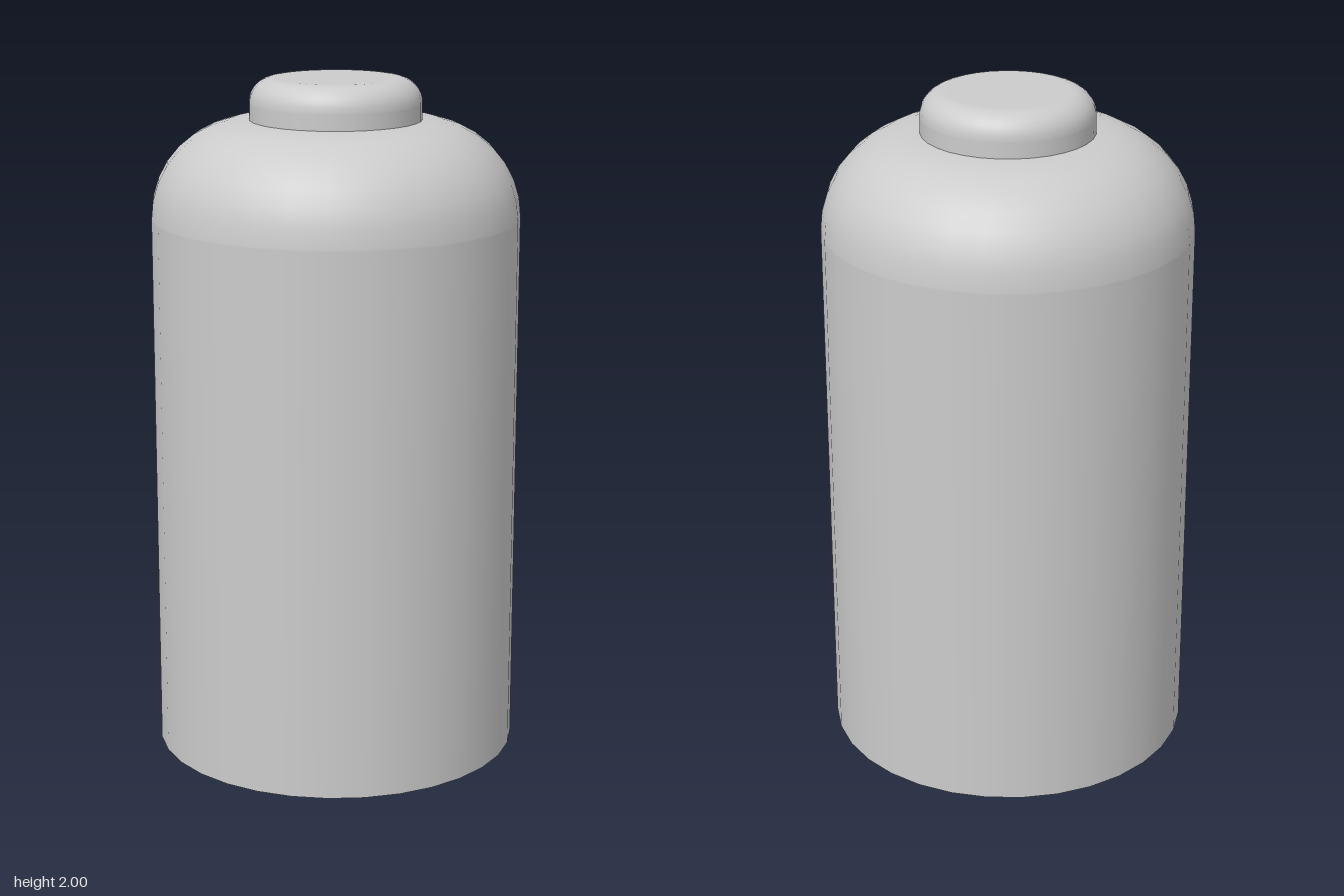
import * as THREE from 'three';

const SIDES = 32;
const material = new THREE.MeshStandardMaterial({ color: 0xcccccc });

// Upright wall with a rounded upper edge and a flat top reaching the axis
function roundedTopProfile(radius, bottom, top, fillet, steps) {
  const eps = 0.004;
  const points = [
    new THREE.Vector2(radius, bottom),
    new THREE.Vector2(radius, top - fillet - eps), // keeps the wall shading even
  ];
  for (let i = 0; i <= steps; i++) {
    const a = (i / steps) * Math.PI / 2;
    points.push(new THREE.Vector2(
      radius - fillet + fillet * Math.cos(a),
      top - fillet + fillet * Math.sin(a),
    ));
  }
  points.push(new THREE.Vector2(radius - fillet - eps, top)); // keeps the top shading flat
  points.push(new THREE.Vector2(0, top));
  return points;
}

function addPart(group, name, geometry) {
  const mesh = new THREE.Mesh(geometry, material);
  mesh.name = name;
  group.add(mesh);
  return mesh;
}

export function createModel() {
  const group = new THREE.Group();
  group.name = 'bottle';

  // Cylindrical body with a broad round shoulder
  addPart(group, 'body', new THREE.LatheGeometry(
    roundedTopProfile(0.537, 0, 1.88, 0.28, 8), SIDES));

  // Flat underside
  const base = addPart(group, 'base', new THREE.CircleGeometry(0.537, SIDES));
  base.rotation.x = Math.PI / 2;

  // Low cap with a softened rim
  addPart(group, 'cap', new THREE.LatheGeometry(
    roundedTopProfile(0.25, 1.87, 2, 0.07, 8), SIDES));

  return group;
}
